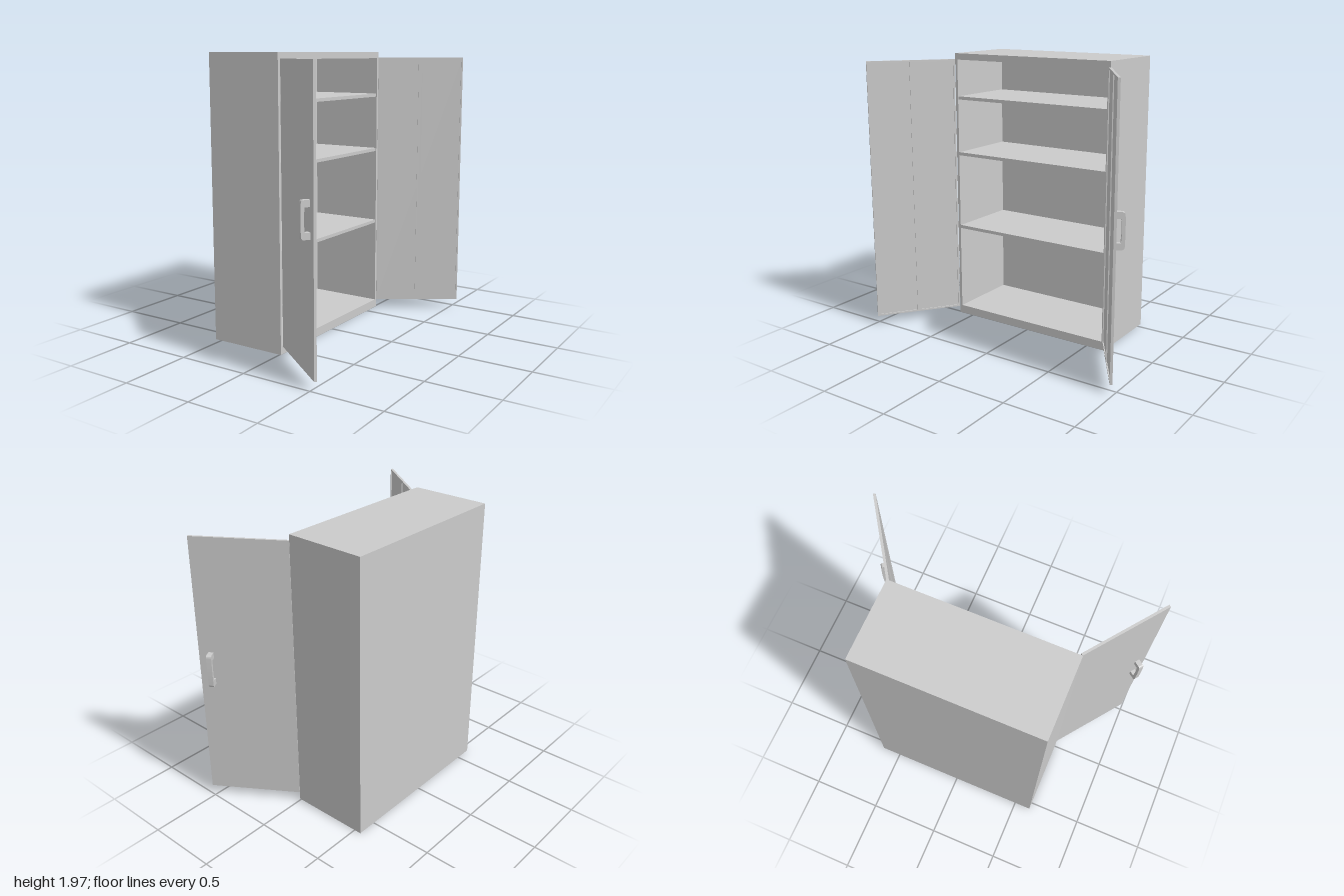
import * as THREE from 'three';

const grey = new THREE.MeshStandardMaterial({ color: 0xcccccc });

// box given by its min and max corners
function box(name, x0, x1, y0, y1, z0, z1) {
  const m = new THREE.Mesh(new THREE.BoxGeometry(x1 - x0, y1 - y0, z1 - z0), grey);
  m.name = name;
  m.position.set((x0 + x1) / 2, (y0 + y1) / 2, (z0 + z1) / 2);
  return m;
}

// C-shaped pull: feet at z = 0, grip standing out towards +z
function makeHandle() {
  const s = new THREE.Shape();
  const h = 0.117, d = 0.06;
  s.moveTo(0, -h);
  s.lineTo(d - 0.018, -h);
  s.quadraticCurveTo(d - 0.002, -h, d - 0.002, -h + 0.025);
  s.quadraticCurveTo(d + 0.002, 0, d - 0.002, h - 0.025);
  s.quadraticCurveTo(d - 0.002, h, d - 0.018, h);
  s.lineTo(0, h);
  s.lineTo(0, h - 0.042);
  s.lineTo(d - 0.026, h - 0.042);
  s.quadraticCurveTo(d - 0.016, 0, d - 0.026, -h + 0.042);
  s.lineTo(0, -h + 0.042);
  s.closePath();
  const w = 0.034;
  const geo = new THREE.ExtrudeGeometry(s, { depth: w, bevelEnabled: false, curveSegments: 8 });
  geo.translate(0, 0, -w / 2);
  geo.rotateY(-Math.PI / 2);
  const m = new THREE.Mesh(geo, grey);
  m.name = 'handle';
  return m;
}

// door running along local +x from its hinge; out = +1 or -1 gives the outer side in local z
function makeDoor(name, hx, hz, tx, tz, out) {
  const door = new THREE.Group();
  door.name = name;
  const L = Math.hypot(tx - hx, tz - hz);
  const y0 = 0.06, y1 = 1.93, rim = 0.012, mid = 0.014;
  const span = (a, b) => (out > 0 ? [a, b] : [-b, -a]);
  const skin = span(-0.002, 0.008);
  const frame = span(-0.009, -0.002);
  door.add(box('doorPanel', 0, L, y0, y1, ...skin));
  // shallow inner frame with a centre stile
  door.add(box('doorStile', 0, rim, y0, y1, ...frame));
  door.add(box('doorStile', L - rim, L, y0, y1, ...frame));
  door.add(box('doorCentreStile', L / 2 - mid, L / 2 + mid, y0 + rim, y1 - rim, ...frame));
  door.add(box('doorRail', rim, L - rim, y0, y0 + rim, ...frame));
  door.add(box('doorRail', rim, L - rim, y1 - rim, y1, ...frame));
  const handle = makeHandle();
  handle.position.set(0.55, 1.02, out * 0.007);
  if (out < 0) handle.rotation.y = Math.PI;
  door.add(handle);
  door.position.set(hx, 0, hz);
  door.rotation.y = -Math.atan2(tz - hz, tx - hx);
  return door;
}

export function createModel() {
  const model = new THREE.Group();
  model.name = 'cabinet';

  // carcass, open towards +x
  const xb = -0.55, xf = 0.01, zb = -0.64, zf = 0.62, H = 1.97;
  const floorY = 0.06, ceilY = 1.925, wall = 0.02;
  model.add(box('base', xb, xf, 0, floorY, zb, zf));
  model.add(box('top', xb, xf, ceilY, H, zb, zf));
  model.add(box('sideWall', xb, xf, floorY, ceilY, zf - wall, zf));
  model.add(box('sideWall', xb, xf, floorY, ceilY, zb, zb + wall));
  model.add(box('backWall', xb, xb + wall, floorY, ceilY, zb + wall, zf - wall));

  // shelves
  for (const y of [0.675, 1.23, 1.64]) {
    model.add(box('shelf', xb + wall, xf - 0.005, y, y + 0.023, zb + wall, zf - wall));
  }

  // open doors
  model.add(makeDoor('doorFront', 0.03, 0.61, 0.53, 0.985, 1));
  model.add(makeDoor('doorBack', 0.012, -0.637, 0.54, -0.982, -1));
  return model;
}
